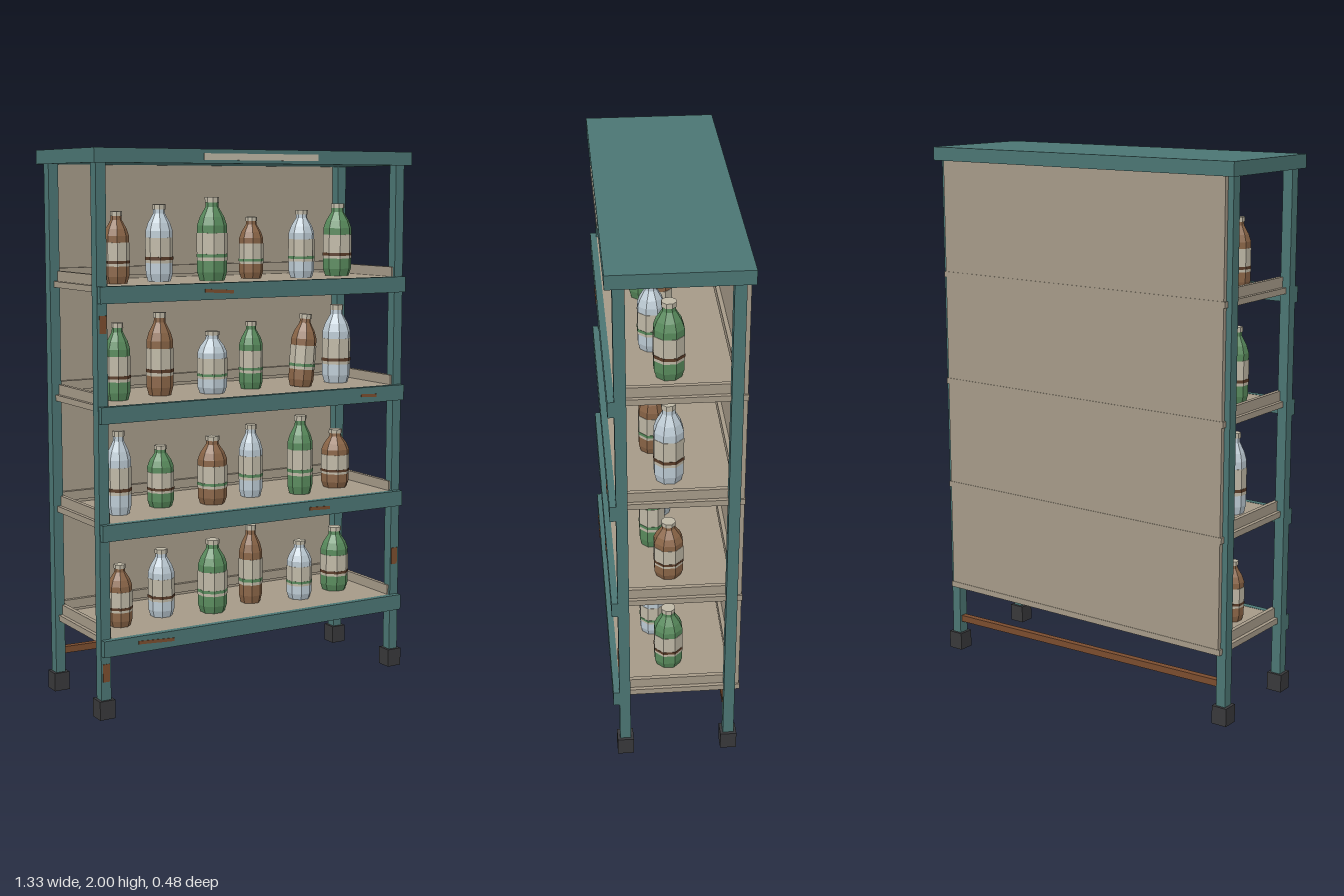
import * as THREE from 'three';

const mat = (name, color) => {
  const m = new THREE.MeshStandardMaterial({ color });
  m.name = name;
  return m;
};

export function createModel() {
  const teal = mat('teal paint', 0x4b7573);
  const beige = mat('beige board', 0xa59a88);
  const rubber = mat('dark rubber', 0x38383a);
  const rust = mat('rust', 0x7a4c2e);
  const brown = mat('brown glass', 0x8a6547);
  const clear = mat('pale glass', 0xbccad3);
  const green = mat('green glass', 0x588a5c);
  const paper = mat('label paper', 0xbfb8a6);
  const dark = mat('dark stripe', 0x5a3c28);

  const model = new THREE.Group();
  model.name = 'bottleShelf';

  // Box given by its min and max corners
  const box = (name, material, x0, x1, y0, y1, z0, z1, parent = model) => {
    const mesh = new THREE.Mesh(new THREE.BoxGeometry(x1 - x0, y1 - y0, z1 - z0), material);
    mesh.position.set((x0 + x1) / 2, (y0 + y1) / 2, (z0 + z1) / 2);
    mesh.name = name;
    parent.add(mesh);
    return mesh;
  };

  // Frame: posts and feet
  for (const x of [-0.628, 0.628]) {
    for (const z of [0.19, -0.195]) {
      box('post', teal, x - 0.019, x + 0.019, 0.06, 1.95, z - 0.02, z + 0.02);
      box('foot', rubber, x - 0.03, x + 0.03, 0, 0.068, z - 0.03, z + 0.03);
    }
  }
  box('topBoard', teal, -0.664, 0.664, 1.95, 2, -0.243, 0.235);
  box('namePlate', paper, -0.24, 0.237, 1.962, 1.985, 0.232, 0.238);
  box('backPanel', beige, -0.625, 0.625, 0.27, 1.95, -0.232, -0.213);

  // Sagging brace between the rear posts
  const brace = box('rearBrace', rust, -0.615, 0.615, 0.125, 0.15, -0.207, -0.183);
  brace.rotation.z = -0.018;

  // Low-poly bottle of height h and radius r, with label, stripe and cap
  const turned = (name, points, material, parent) => {
    const geo = new THREE.LatheGeometry(points.map(([px, py]) => new THREE.Vector2(px, py)), 8, Math.PI / 8)
      .toNonIndexed();
    geo.computeVertexNormals();
    const mesh = new THREE.Mesh(geo, material);
    mesh.name = name;
    parent.add(mesh);
  };
  const makeBottle = (h, r, glass, stripe) => {
    const bottle = new THREE.Group();
    bottle.name = 'bottle';
    turned('glassBody', [[0, 0], [r * 0.84, 0], [r, h * 0.1], [r, h * 0.66], [r * 0.82, h * 0.76],
      [r * 0.44, h * 0.88], [r * 0.42, h * 0.94]], glass, bottle);
    const band = (name, a, b, d, material) =>
      turned(name, [[r, h * a], [r + d, h * a], [r + d, h * b], [r, h * b]], material, bottle);
    band('label', 0.24, 0.57, 0.0012, paper);
    band('labelStripe', 0.28, 0.32, 0.0022, stripe);
    turned('cap', [[0, h * 0.935], [r * 0.48, h * 0.935], [r * 0.48, h], [0, h]], paper, bottle);
    return bottle;
  };

  const heights = [0.228, 0.253, 0.276, 0.302];
  const radii = [0.045, 0.049, 0.055];
  const glasses = [brown, clear, green];
  const stripes = [dark, dark, green, green, green, dark];

  // Four shelves with rails and six bottles each
  for (let i = 0; i < 4; i++) {
    const y = 0.288 + i * 0.4145;
    const shelf = new THREE.Group();
    shelf.name = 'shelf';
    model.add(shelf);
    box('shelfBoard', beige, -0.632, 0.632, y - 0.022, y, -0.234, 0.209, shelf);
    box('frontRail', teal, -0.645, 0.645, y - 0.058, y + 0.001, 0.208, 0.232, shelf);
    box('rearRail', beige, -0.61, 0.61, y + 0.012, y + 0.046, -0.213, -0.198, shelf);
    for (const s of [-1, 1]) {
      box('sideRail', beige, s * 0.61 - 0.008, s * 0.61 + 0.008, y, y + 0.037, -0.21, 0.2, shelf);
    }
    for (let j = 0; j < 6; j++) {
      const bottle = makeBottle(heights[(j + 3 * i) % 4], radii[j % 3], glasses[(i + j) % 3], stripes[j]);
      bottle.position.set(-0.497 + j * 0.1946, y, j % 2 ? 0.017 : 0.062);
      if (i === 2 && j === 4) bottle.rotation.z = -0.08;
      shelf.add(bottle);
    }
  }

  // Rust chips on the front rails: x range, height, tilt
  for (const [x0, x1, y, tilt] of [[-0.51, -0.365, 0.262, -0.06], [0.215, 0.305, 0.674, -0.04],
    [0.445, 0.515, 1.087, -0.06], [-0.235, -0.118, 1.503, -0.06]]) {
    box('railChip', rust, x0, x1, y - 0.006, y + 0.006, 0.229, 0.2345).rotation.z = tilt;
  }
  // Rust patches on the front posts
  for (const [x, y0, y1] of [[-0.626, 1.37, 1.432], [-0.628, 0.135, 0.2], [0.626, 0.41, 0.475]]) {
    box('postRust', rust, x - 0.013, x + 0.013, y0, y1, 0.207, 0.2125);
  }
  return model;
}
